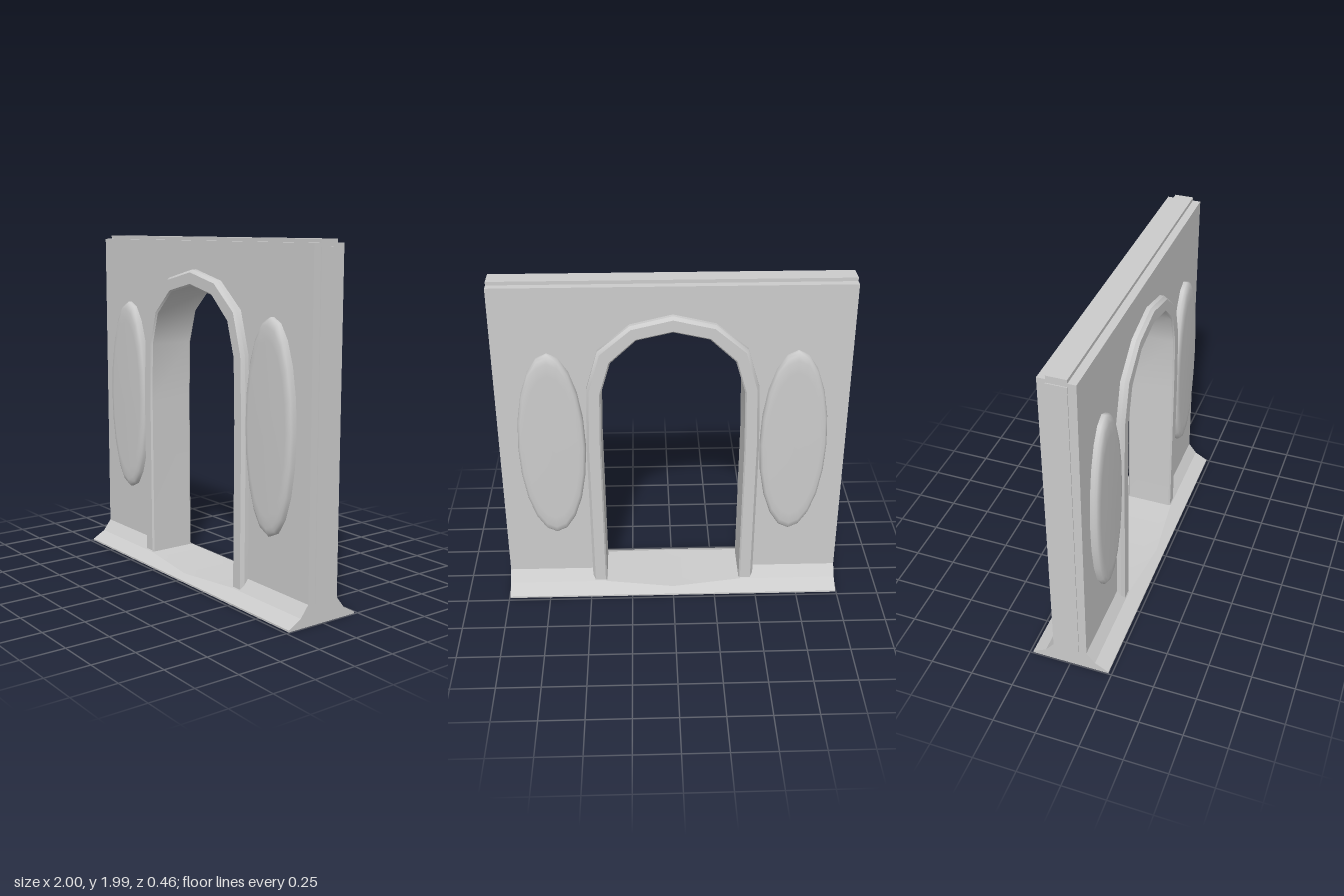
import * as THREE from 'three';
import { toCreasedNormals } from 'three/addons/utils/BufferGeometryUtils.js';

const material = new THREE.MeshStandardMaterial({ color: 0xcccccc });

// Skins a row of closed rings (arrays of [x, y, z]) and caps both ends.
function loft(rings, crease) {
  const n = rings[0].length;
  const positions = [];
  const quad = (a, b, c, d) => positions.push(...a, ...b, ...c, ...a, ...c, ...d);
  for (let i = 0; i < rings.length - 1; i++) {
    const r = rings[i], s = rings[i + 1];
    for (let j = 0; j < n; j++) {
      const k = (j + 1) % n;
      quad(r[j], r[k], s[k], s[j]);
    }
  }
  const first = rings[0], last = rings[rings.length - 1];
  for (let j = 0; j < n / 2 - 1; j++) {
    const k = n - 1 - j;
    quad(first[k], first[k - 1], first[j + 1], first[j]);
    quad(last[j], last[j + 1], last[k - 1], last[k]);
  }
  const geometry = new THREE.BufferGeometry();
  geometry.setAttribute('position', new THREE.Float32BufferAttribute(positions, 3));
  return toCreasedNormals(geometry, crease);
}

// Arch line from the left foot to the crown: inner x, y and outer x, y
const halfArch = [
  [0.405, 0.05, 0.49, 0.05],
  [0.41, 1.0, 0.495, 1.0],
  [0.402, 1.35, 0.483, 1.37],
  [0.345, 1.54, 0.415, 1.605],
  [0.2, 1.675, 0.235, 1.755],
  [0, 1.72, 0, 1.81],
];
const arch = [
  ...halfArch,
  ...halfArch.slice(0, -1).reverse().map(([a, b, c, d]) => [-a, b, -c, d]),
];

export function createModel() {
  const group = new THREE.Group();
  const add = (name, geometry) => {
    const mesh = new THREE.Mesh(geometry, material);
    mesh.name = name;
    group.add(mesh);
    return mesh;
  };

  // Wall slab, its doorway edge hidden inside the surround
  const outline = new THREE.Shape();
  outline.moveTo(-0.995, 0.02);
  outline.lineTo(-0.45, 0.02);
  [...arch].reverse().forEach(([ix, iy, ox, oy]) => outline.lineTo((ix + ox) / 2, (iy + oy) / 2));
  outline.lineTo(0.45, 0.02);
  outline.lineTo(0.995, 0.02);
  outline.lineTo(0.995, 1.97);
  outline.lineTo(-0.995, 1.97);
  const wall = new THREE.ExtrudeGeometry(outline, { depth: 0.2, bevelEnabled: false });
  wall.translate(0, 0, -0.1);
  add('wall', wall);

  // Joining ridges along the top and both ends
  add('topRidge', new THREE.BoxGeometry(1.99, 0.04, 0.11).translate(0, 1.97, 0));
  for (const side of [1, -1]) {
    add(side > 0 ? 'leftEndRidge' : 'rightEndRidge',
      new THREE.BoxGeometry(0.02, 1.83, 0.11).translate(side * 0.99, 1.035, 0));
  }

  // Arched surround, lining the doorway and standing proud on both faces
  const section = [
    [1, 0.125], [1, -0.125], [0.82, -0.145], [0.1, -0.145],
    [0, -0.135], [0, 0.135], [0.1, 0.145], [0.82, 0.145],
  ];
  add('archSurround', loft(arch.map(([ix, iy, ox, oy]) =>
    section.map(([t, z]) => [ix + (ox - ix) * t, iy + (oy - iy) * t, z])), 0.6));

  // Flared skirt, cut down to a shallow worn threshold in the doorway
  const skirtRing = (x, height) => {
    const flareZ = 0.23 - 0.08 * (Math.min(height, 0.055) - 0.01) / 0.045;
    const half = [[0.23, 0], [0.23, 0.01], [flareZ, Math.min(height, 0.055)], [0.1, height]];
    return [
      ...half.map(([z, y]) => [x, y, -z]),
      ...half.slice().reverse().map(([z, y]) => [x, y, z]),
    ];
  };
  add('baseSkirt', loft([
    [-0.995, 0.12], [-0.41, 0.12], [-0.41, 0.055], [0, 0.034],
    [0.41, 0.055], [0.41, 0.12], [0.995, 0.12],
  ].map(([x, h]) => skirtRing(x, h)), 0.2));

  // Oval cushion panels on both faces
  const profile = [[1, 0], [1, 0.022], [0.975, 0.036], [0.92, 0.045], [0.8, 0.049], [0, 0.05]]
    .map(([r, h]) => new THREE.Vector2(r, h));
  const oval = new THREE.LatheGeometry(profile, 20);
  for (const face of [1, -1]) {
    for (const side of [1, -1]) {
      const panel = add((face > 0 ? 'front' : 'back') + (side > 0 ? 'Left' : 'Right') + 'OvalPanel', oval);
      panel.scale.set(0.193, 1, 0.587);
      panel.rotation.x = face * Math.PI / 2;
      panel.position.set(side * 0.692, 1.002, face * 0.098);
    }
  }
  return group;
}
